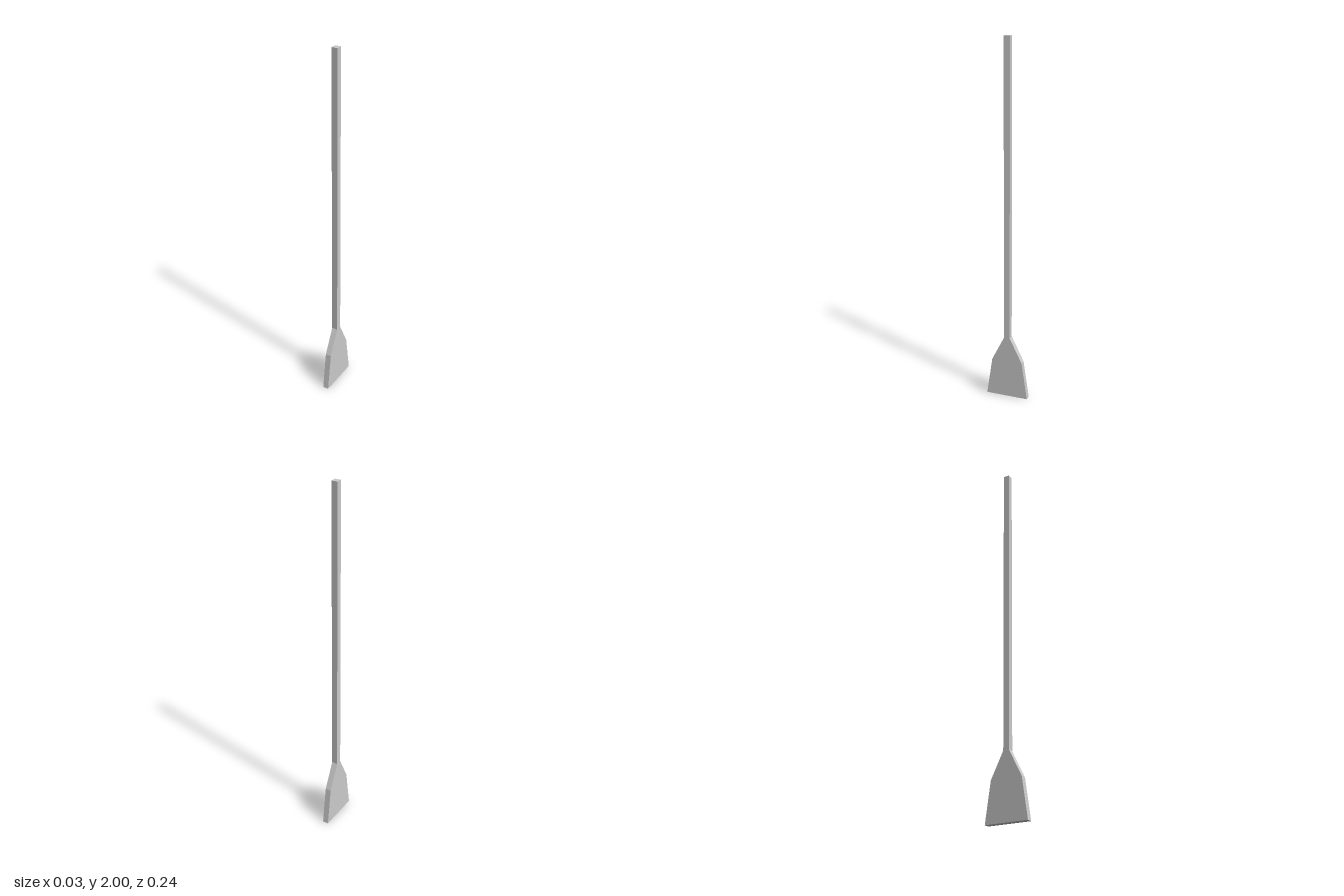
import * as THREE from 'three';

const THICK = 0.033;   // square shaft width and blade thickness
const NECK_Y = 0.36;   // where the blade meets the shaft
const TOP_Y = 2;

export function createModel() {
  const group = new THREE.Group();
  const material = new THREE.MeshStandardMaterial({ color: 0xcccccc, flatShading: true });

  // Long square shaft
  const shaftGeometry = new THREE.BoxGeometry(THICK, TOP_Y - NECK_Y, THICK);
  shaftGeometry.translate(0, (TOP_Y + NECK_Y) / 2, 0);
  const shaft = new THREE.Mesh(shaftGeometry, material);
  shaft.name = 'shaft';

  // Flat flared blade: half outline as [half width, height], mirrored
  const half = [[0.119, 0], [0.087, 0.218], [THICK / 2, NECK_Y]];
  const outline = [
    ...half.map(([w, y]) => new THREE.Vector2(w, y)),
    ...half.slice().reverse().map(([w, y]) => new THREE.Vector2(-w, y)),
  ];
  const bladeGeometry = new THREE.ExtrudeGeometry(new THREE.Shape(outline), {
    depth: THICK, bevelEnabled: false,
  });
  bladeGeometry.translate(0, 0, -THICK / 2);
  bladeGeometry.rotateY(Math.PI / 2);
  const blade = new THREE.Mesh(bladeGeometry, material);
  blade.name = 'blade';

  group.add(shaft, blade);
  return group;
}
